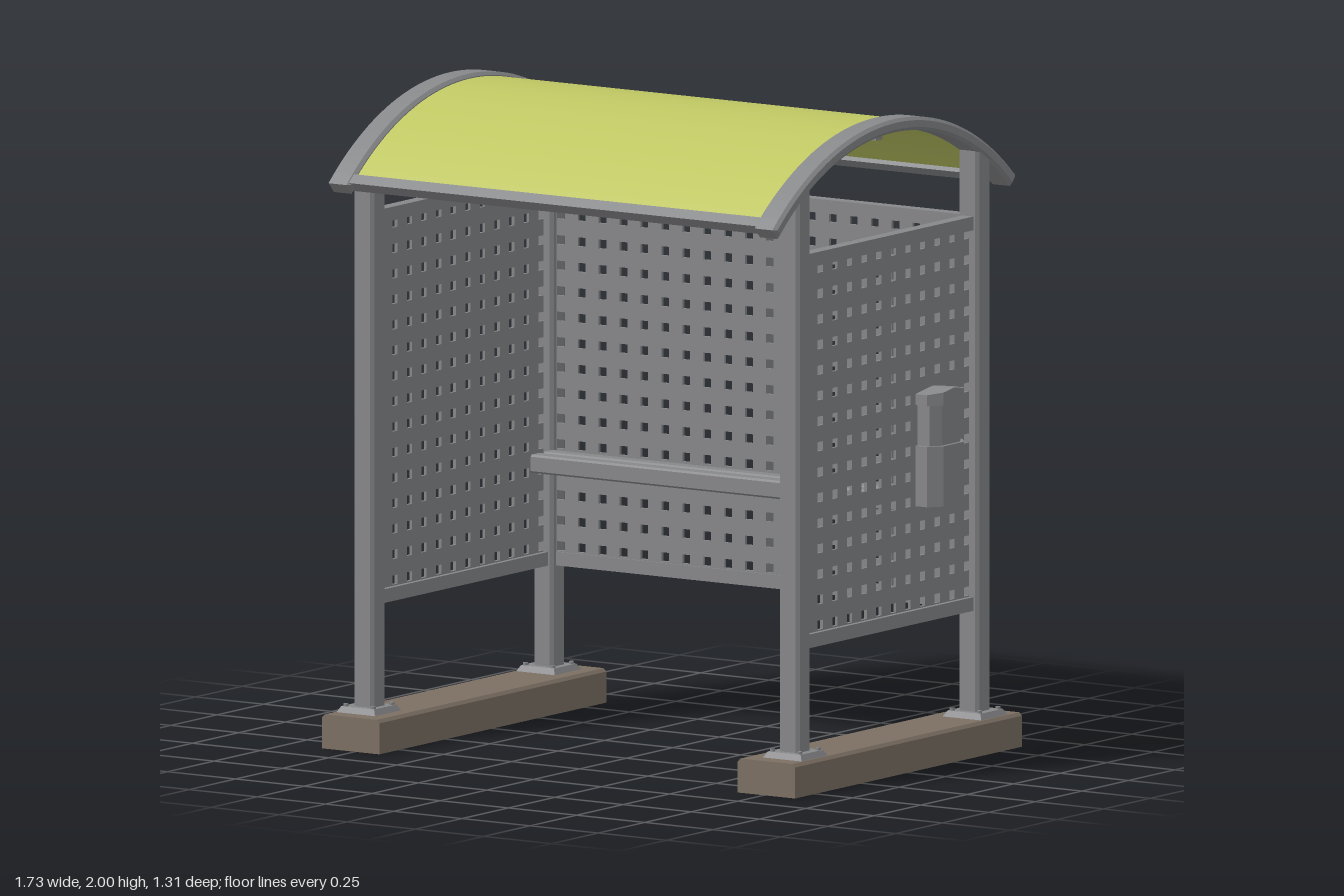
import * as THREE from 'three';

const mat = (name, color) => Object.assign(new THREE.MeshStandardMaterial({ color }), { name });

export function createModel() {
  const steel = mat('grey steel', 0x87888a);
  const sheet = mat('yellow green roof', 0xbfc763);
  const concrete = mat('brown concrete', 0x7c7063);
  const model = new THREE.Group();
  model.name = 'shelter';
  const body = new THREE.Group();
  body.name = 'body';
  body.position.x = -0.003;
  model.add(body);

  const add = (name, geo, material, x = 0, y = 0, z = 0) => {
    const mesh = new THREE.Mesh(geo, material);
    mesh.name = name;
    mesh.position.set(x, y, z);
    body.add(mesh);
    return mesh;
  };
  const box = (name, w, h, d, x, y, z) => add(name, new THREE.BoxGeometry(w, h, d), steel, x, y, z);
  // Prism along z from a list of outline points, centred in z
  const prism = (pts, depth) =>
    new THREE.ExtrudeGeometry(new THREE.Shape(pts.map(p => new THREE.Vector2(...p))),
      { depth, bevelEnabled: false }).translate(0, 0, -depth / 2);
  const octagon = (w, h, c) => [
    [-w + c, -h], [w - c, -h], [w, -h + c], [w, h - c],
    [w - c, h], [-w + c, h], [-w, h - c], [-w, -h + c]];

  // Curved roof
  const CY = 1.04;
  const arch = (rIn, rOut, a0, a1, width, bevel = 0) => {
    const s = new THREE.Shape();
    s.absarc(0, CY, rOut - bevel, Math.PI / 2 + a0, Math.PI / 2 + a1, false);
    s.absarc(0, CY, rIn + bevel, Math.PI / 2 + a1, Math.PI / 2 + a0, true);
    const depth = width - 2 * bevel;
    return new THREE.ExtrudeGeometry(s, {
      depth, curveSegments: 20, bevelEnabled: bevel > 0,
      bevelSize: bevel, bevelThickness: bevel, bevelSegments: 1,
    }).translate(0, 0, -depth / 2).rotateY(Math.PI / 2);
  };
  const END = 0.738;
  add('roofSheet', arch(0.935, 0.946, -END + 0.035, END - 0.035, 1.5), sheet);
  for (const s of [-1, 1]) {
    add('roofArch', arch(0.918, 0.959, -END, END, 0.084, 0.01), steel, s * 0.781);
    const a = s * (END - 0.02);
    const eave = box('eaveBeam', 1.56, 0.036, 0.036, 0, CY + 0.938 * Math.cos(a), 0.938 * Math.sin(a));
    eave.rotation.x = a;
  }
  box('ridgeBeam', 1.52, 0.04, 0.036, 0, 1.95, 0);

  // Footings, posts, base plates and bolts
  for (const sx of [-1, 1]) {
    add('footing', prism([[-0.105, 0], [0.105, 0], [0.105, 0.095], [0.095, 0.105],
      [-0.095, 0.105], [-0.105, 0.095]], 1.22), concrete, sx * 0.762);
    for (const sz of [-1, 1]) {
      const post = prism(octagon(0.0365, 0.0365, 0.01), 1.7).rotateX(-Math.PI / 2)
        .translate(0, 0.95, sz * 0.483);
      const p = post.attributes.position;
      // tops follow the arch
      for (let i = 0; i < p.count; i++) {
        if (p.getY(i) > 1) p.setY(i, CY + Math.sqrt(0.935 ** 2 - p.getZ(i) ** 2));
      }
      post.computeVertexNormals();
      add('post', post, steel, sx * 0.78);
      const plate = new THREE.CylinderGeometry(0.085, 0.1, 0.018, 4).toNonIndexed().rotateY(Math.PI / 4);
      plate.computeVertexNormals();
      add('basePlate', plate, steel, sx * 0.782, 0.114, sz * 0.483);
      for (const bx of [-1, 1]) for (const bz of [-1, 1]) {
        add('bolt', new THREE.CylinderGeometry(0.008, 0.008, 0.014, 6), steel,
          sx * 0.782 + bx * 0.05, 0.124, sz * 0.483 + bz * 0.05);
      }
    }
  }

  // Perforated panels
  const panel = (halfW, cols, span) => {
    const s = new THREE.Shape([[-halfW, 0.44], [halfW, 0.44], [halfW, 1.635], [-halfW, 1.635]]
      .map(p => new THREE.Vector2(...p)));
    const h = 0.014;
    for (let c = 0; c < cols; c++) for (let r = 0; r < 15; r++) {
      const x = -span + 2 * span * c / (cols - 1), y = 0.492 + 0.0782 * r;
      s.holes.push(new THREE.Path([[x - h, y - h], [x - h, y + h], [x + h, y + h], [x + h, y - h]]
        .map(p => new THREE.Vector2(...p))));
    }
    return new THREE.ExtrudeGeometry(s, { depth: 0.01, bevelEnabled: false }).translate(0, 0, -0.005);
  };
  add('backPanel', panel(0.755, 20, 0.729), steel, 0, 0, -0.475);
  const sidePanel = panel(0.455, 12, 0.432).rotateY(Math.PI / 2);
  for (const s of [-1, 1]) add('sidePanel', sidePanel, steel, s * 0.78);

  // Panel frame rails
  for (const y of [0.453, 1.62]) {
    box('backRail', 1.5, 0.042, 0.04, 0, y, -0.485);
    for (const s of [-1, 1]) box('sideRail', 0.04, 0.042, 0.91, s * 0.78, y, 0);
  }
  box('backMiddleRail', 1.5, 0.042, 0.035, 0, 0.755, -0.495);
  box('backMiddlePost', 0.044, 1.2, 0.035, 0, 1.037, -0.496);

  // Perching bench
  for (const z of [-0.365, -0.435]) {
    add('benchBar', prism(octagon(0.026, 0.028, 0.006), 1.5).rotateY(Math.PI / 2), steel, 0, 0.759, z);
  }
  for (const x of [-0.7, 0, 0.7]) box('benchBracket', 0.03, 0.02, 0.1, x, 0.75, -0.42);

  // Litter bin on the outside of the left panel
  const binPart = (name, y0, y1, x1, halfZ, slope = 0) => {
    const c = halfZ * 0.58;
    const geo = prism([[0.787, -halfZ], [0.83, -halfZ], [x1, -c], [x1, 0], [x1, c],
      [0.83, halfZ], [0.787, halfZ], [0.787, 0]], y1 - y0).rotateX(-Math.PI / 2);
    const p = geo.attributes.position;
    for (let i = 0; i < p.count; i++) {
      if (p.getY(i) > 0) p.setY(i, p.getY(i) - slope * Math.abs(p.getZ(i)));
    }
    geo.computeVertexNormals();
    add(name, geo, steel, 0, (y0 + y1) / 2, -0.25);
  };
  binPart('binBody', 0.79, 0.975, 0.863, 0.096);
  binPart('binNeck', 0.975, 1.1, 0.852, 0.084);
  binPart('binCap', 1.1, 1.148, 0.863, 0.096, 0.15);

  return model;
}
